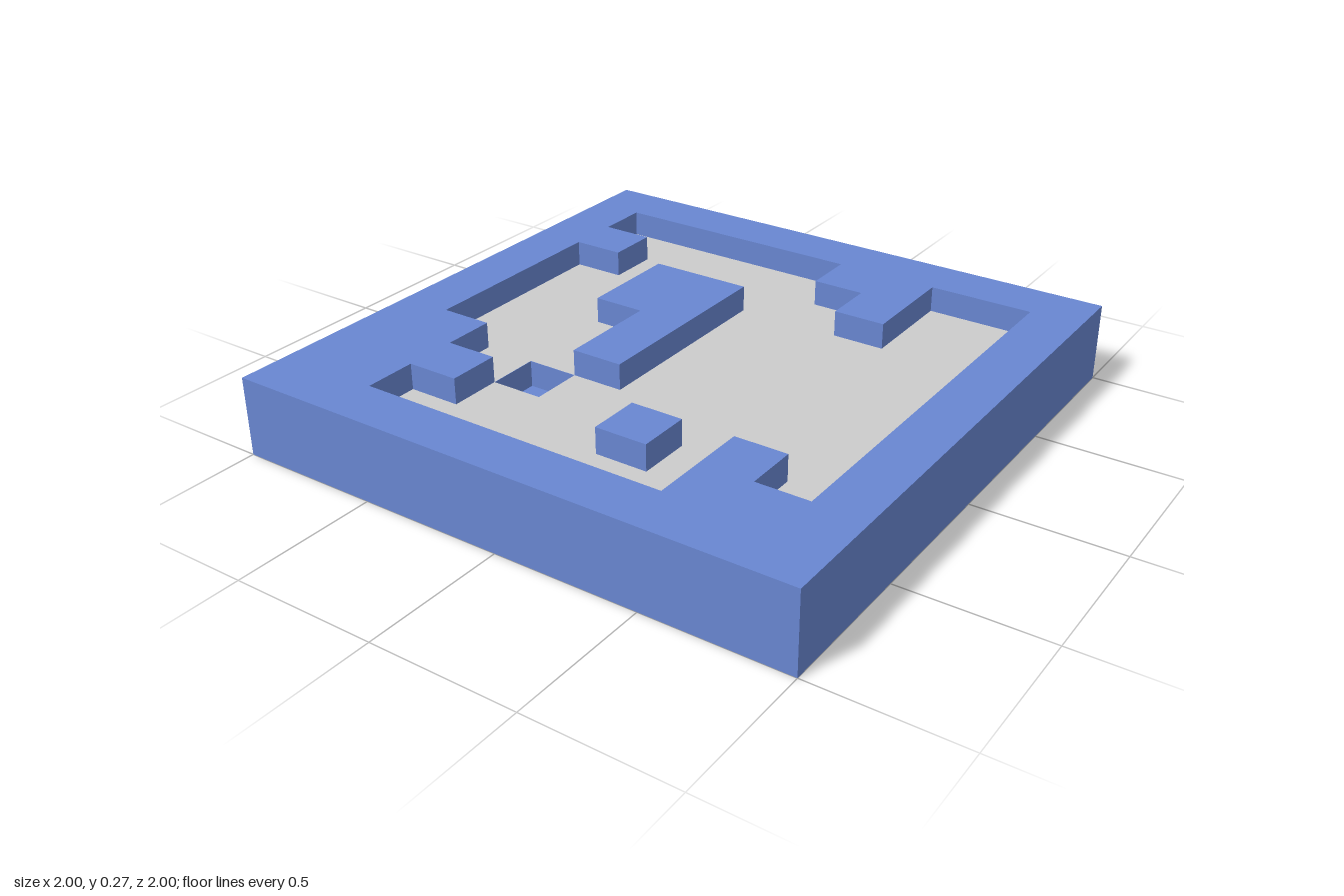
import * as THREE from 'three';

const CELL = 2 / 11;      // the plan sits on an 11 x 11 grid
const LAYER = CELL / 2;   // base, floor and wall layers are equally thick

// Clockwise grid corners (column, row; row 0 at the back) to counter-clockwise plan points
const plan = (corners) => corners
  .map(([c, r]) => new THREE.Vector2(c * CELL - 1, 1 - r * CELL)).reverse();
const rect = (c0, r0, c1, r1) => [[c0, r0], [c1, r0], [c1, r1], [c0, r1]];

function outline(corners, ...holes) {
  const shape = new THREE.Shape(plan(corners));
  for (const hole of holes) shape.holes.push(new THREE.Path(plan(hole)));
  return shape;
}

export function createModel() {
  const group = new THREE.Group();
  const blue = new THREE.MeshStandardMaterial({ color: 0x6886d1, flatShading: true });
  const grey = new THREE.MeshStandardMaterial({ color: 0xcccccc, flatShading: true });

  const add = (name, geometry, material, y) => {
    const mesh = new THREE.Mesh(geometry.rotateX(-Math.PI / 2), material);
    mesh.name = name;
    mesh.position.y = y;
    group.add(mesh);
  };
  const addLayer = (name, shape, level) => add(name,
    new THREE.ExtrudeGeometry(shape, { depth: LAYER, bevelEnabled: false }), blue, level * LAYER);

  const edge = rect(0, 0, 11, 11);
  const pit = rect(3, 7, 4, 8);

  // Solid base, then a layer pierced by the one-cell pit
  addLayer('base', outline(edge), 0);
  addLayer('pitLayer', outline(edge, pit), 1);

  // Grey floor sheet, running on beneath the walls
  add('floor', new THREE.ShapeGeometry(outline(rect(1, 1, 10, 10), pit)), grey, 2 * LAYER + 0.001);

  // Outer wall with its stepped inner edge
  addLayer('outerWall', outline(edge, [
    [1, 1], [6, 1], [6, 2], [7, 2], [7, 3], [8, 3], [8, 1], [10, 1],
    [10, 9], [9, 9], [9, 8], [8, 8], [8, 10], [2, 10], [2, 9], [3, 9],
    [3, 8], [2, 8], [2, 7], [1, 7], [1, 3], [2, 3], [2, 2], [1, 2],
  ]), 2);

  // Free-standing blocks on the floor
  addLayer('hookedBlock', outline([[3, 3], [5, 3], [5, 7], [4, 7], [4, 5], [3, 5]]), 2);
  addLayer('smallBlock', outline(rect(6, 8, 7, 9)), 2);

  return group;
}
